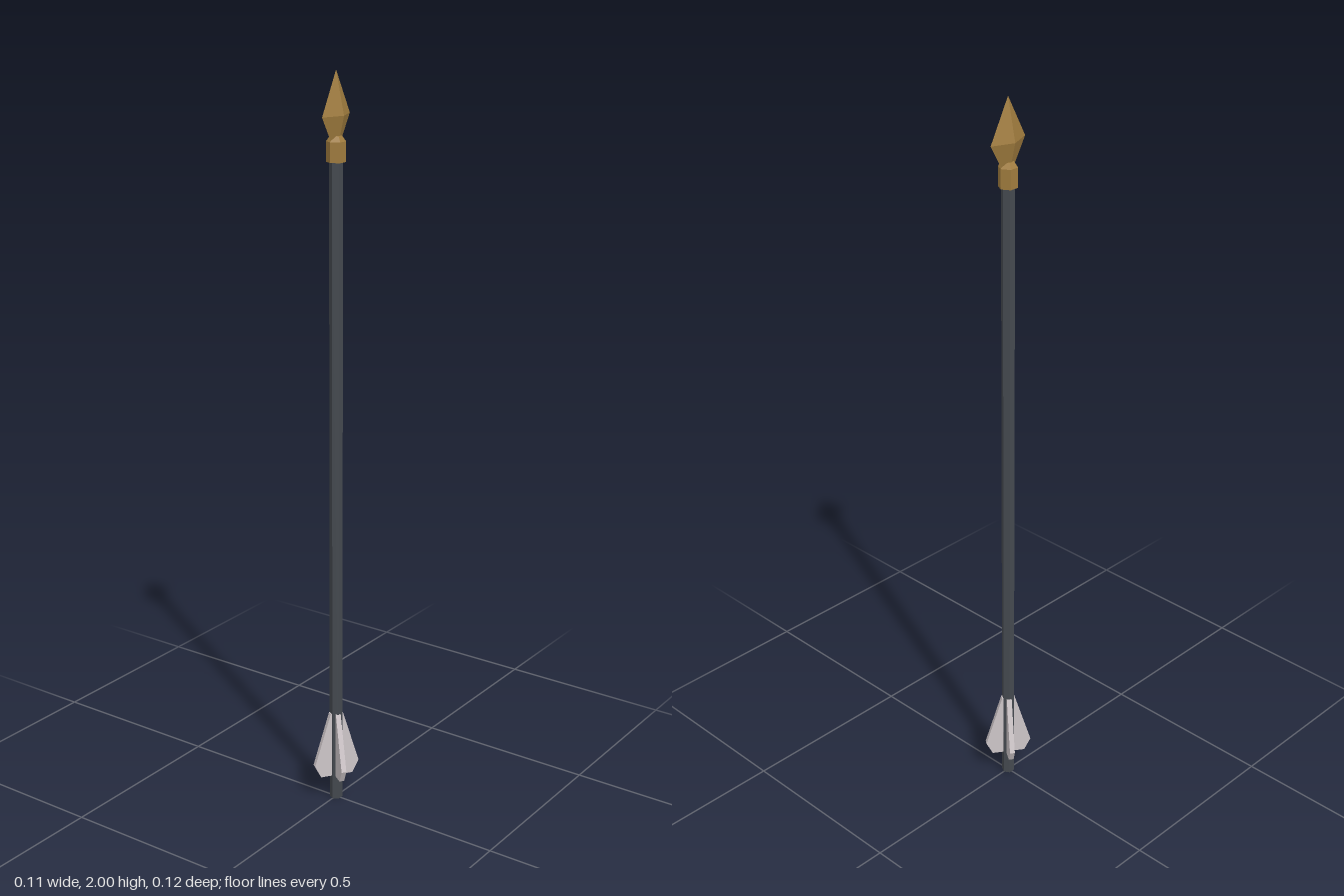
import * as THREE from 'three';

const flat = (name, color) => {
  const m = new THREE.MeshStandardMaterial({ color, flatShading: true });
  m.name = name;
  return m;
};

// Faceted solid turned from [radius, height] points, bottom to top
function turned(points, sides) {
  return new THREE.LatheGeometry(points.map(([r, y]) => new THREE.Vector2(r, y)), sides);
}

export function createModel() {
  const arrow = new THREE.Group();
  arrow.name = 'arrow';
  const bronze = flat('bronze', 0xa07c3e);
  const darkGrey = flat('dark grey', 0x454a50);
  const paleGrey = flat('pale grey', 0xcdc5c8);

  const add = (name, geometry, material) => {
    const mesh = new THREE.Mesh(geometry, material);
    mesh.name = name;
    arrow.add(mesh);
    return mesh;
  };

  // Hexagonal shaft
  add('shaft', turned([[0, 0], [0.0175, 0], [0.0175, 1.8], [0, 1.8]], 6), darkGrey);

  // Socket joining shaft and point
  add('socket', turned([[0, 1.775], [0.025, 1.775], [0.025, 1.826], [0.015, 1.84], [0, 1.84]], 6), bronze);

  // Flattened diamond point, broad along z
  const point = turned([[0, 1.79], [1, 1.89], [0, 2]], 4);
  point.scale(0.024, 1, 0.059);
  add('arrowhead', point, bronze);

  // Four vanes around the tail
  const outline = new THREE.Shape([
    [0, 0.07], [0.046, 0.07], [0.064, 0.106], [0.018, 0.26], [0, 0.26],
  ].map(([x, y]) => new THREE.Vector2(x, y)));
  const thickness = 0.014;
  const vane = new THREE.ExtrudeGeometry(outline, { depth: thickness, bevelEnabled: false });
  vane.translate(0, 0, -thickness / 2);
  for (let i = 0; i < 4; i++) {
    add(`vane${i + 1}`, vane, paleGrey).rotation.y = -THREE.MathUtils.degToRad(34.5) + i * Math.PI / 2;
  }
  return arrow;
}
